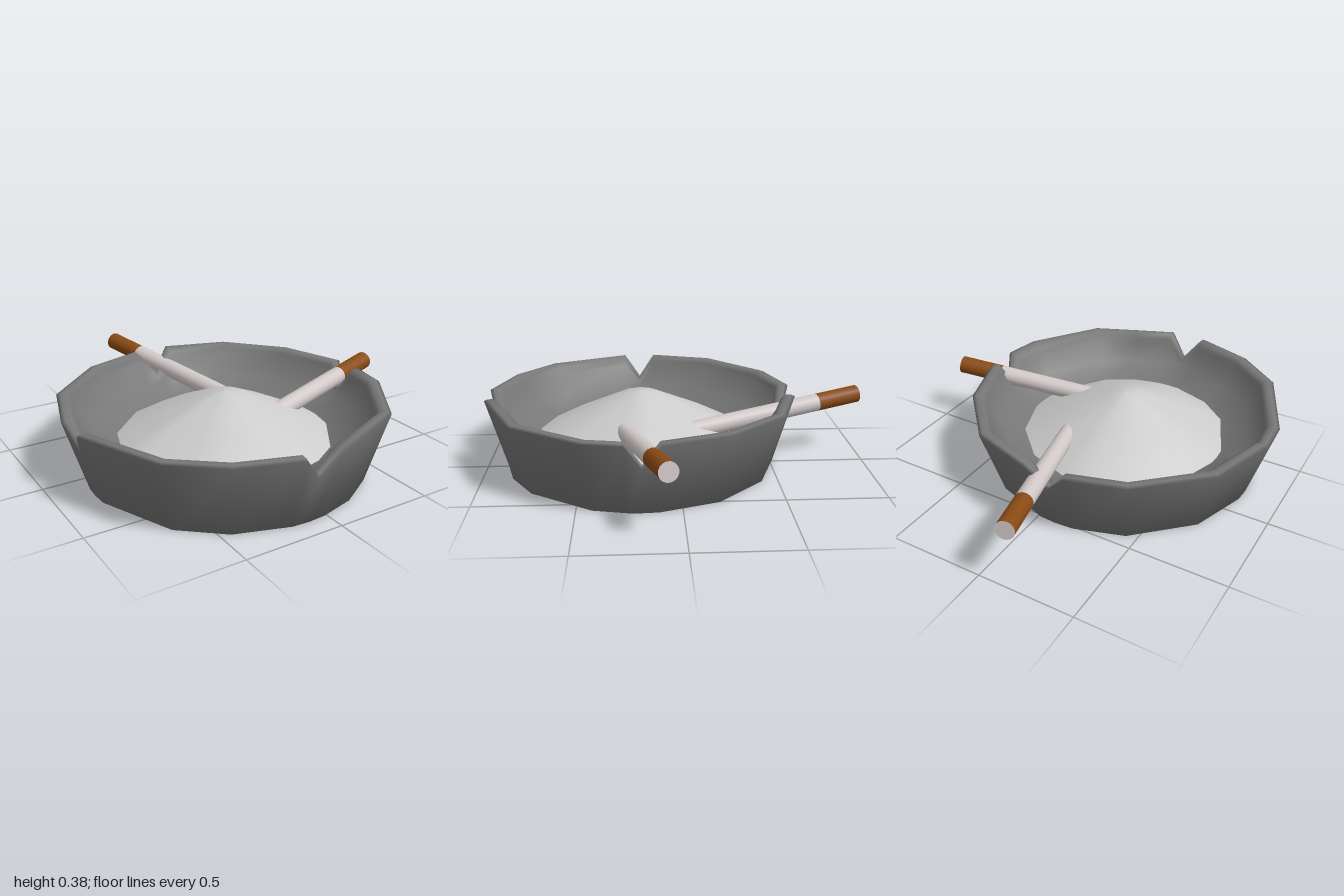
import * as THREE from 'three';

const CX = -0.1, CZ = 0.19; // centre of the bowl

// Outline of the rim [x, z], a trailing 1 marks a notch
const RIM = [
  [0.67, 0.19, 1], [0.705, 0.27], [0.67, 0.46], [0.43, 0.81], [0.20, 0.91], [0, 0.995],
  [-0.1, 0.955, 1], [-0.2, 0.995], [-0.5, 0.895], [-0.73, 0.71], [-0.915, 0.28],
  [-0.87, 0.19, 1], [-0.915, 0.1], [-0.81, -0.24], [-0.5, -0.53], [-0.21, -0.62],
  [-0.1, -0.575, 1], [0, -0.62], [0.33, -0.515], [0.59, -0.23], [0.705, 0.10],
];

// Skin a smooth surface from one [radius, y] profile per rim point
function loft(profileOf) {
  const pos = [], index = [], radii = [], n = RIM.length;
  let rings = 0;
  for (const [x, z, notch] of RIM) {
    const angle = Math.atan2(z - CZ, x - CX);
    const profile = profileOf(Math.hypot(x - CX, z - CZ), notch);
    rings = profile.length;
    for (const [r, y] of profile) {
      pos.push(CX + r * Math.cos(angle), y, CZ + r * Math.sin(angle));
      radii.push(r);
    }
  }
  for (let i = 0; i < n; i++) {
    for (let j = 0; j < rings - 1; j++) {
      const a = i * rings + j, b = ((i + 1) % n) * rings + j;
      if (radii[a] > 0) index.push(a, a + 1, b);
      if (radii[a + 1] > 0) index.push(b, a + 1, b + 1);
    }
  }
  const g = new THREE.BufferGeometry();
  g.setAttribute('position', new THREE.Float32BufferAttribute(pos, 3));
  g.setIndex(index);
  g.computeVertexNormals();
  return g;
}

function mesh(name, geometry, material) {
  const m = new THREE.Mesh(geometry, material);
  m.name = name;
  return m;
}

// Rolled stick with a filter, from its outer end to the end sunk into the floor
function makeStick(name, from, to, paper, filter) {
  const group = new THREE.Group();
  group.name = name;
  const length = from.distanceTo(to), filterLength = 0.24, radius = 0.047;
  const part = (label, len, start, mats) => {
    const m = mesh(label, new THREE.CylinderGeometry(radius, radius, len, 16), mats);
    m.position.y = -start - len / 2;
    group.add(m);
  };
  part('filter', filterLength, 0, [filter, paper, paper]);
  part('paper', length - filterLength, filterLength, paper);
  group.position.copy(from);
  group.quaternion.setFromUnitVectors(
    new THREE.Vector3(0, 1, 0), from.clone().sub(to).normalize());
  return group;
}

export function createModel() {
  const model = new THREE.Group();
  const dark = new THREE.MeshStandardMaterial({ color: 0x777777 });
  const light = new THREE.MeshStandardMaterial({ color: 0xcccccc });
  const paper = new THREE.MeshStandardMaterial({ color: 0xd2c8c8 });
  const filter = new THREE.MeshStandardMaterial({ color: 0x8a4a14 });

  // Bowl: base, outer wall, rounded rim and sloping inside
  model.add(mesh('bowl', loft((r, notch) => {
    const top = notch ? 0.25 : 0.372;
    const wall = notch ? 0.055 : 0.075; // rim thickness
    return [
      [0, 0], [0.71, 0], [r, top - 0.008],
      [r - wall * 0.25, top], [r - wall * 0.65, top],
      [r - wall * 0.95, top - 0.02], [r - wall, notch ? 0.225 : 0.32],
      [0.67, 0.215], [0.54, 0.155],
    ];
  }), dark));

  // Floor rising to a blunt peak
  model.add(mesh('floor', loft(() => [
    [0.54, 0.155], [0.36, 0.25], [0.1, 0.367], [0, 0.382],
  ]), light));

  // Two sticks lying in the back and left notches
  model.add(makeStick('backStick', new THREE.Vector3(-0.16, 0.325, -0.99),
    new THREE.Vector3(0.105, 0.21, -0.02), paper, filter));
  model.add(makeStick('leftStick', new THREE.Vector3(0.9, 0.325, 0.08),
    new THREE.Vector3(0.08, 0.23, 0.295), paper, filter));
  return model;
}
